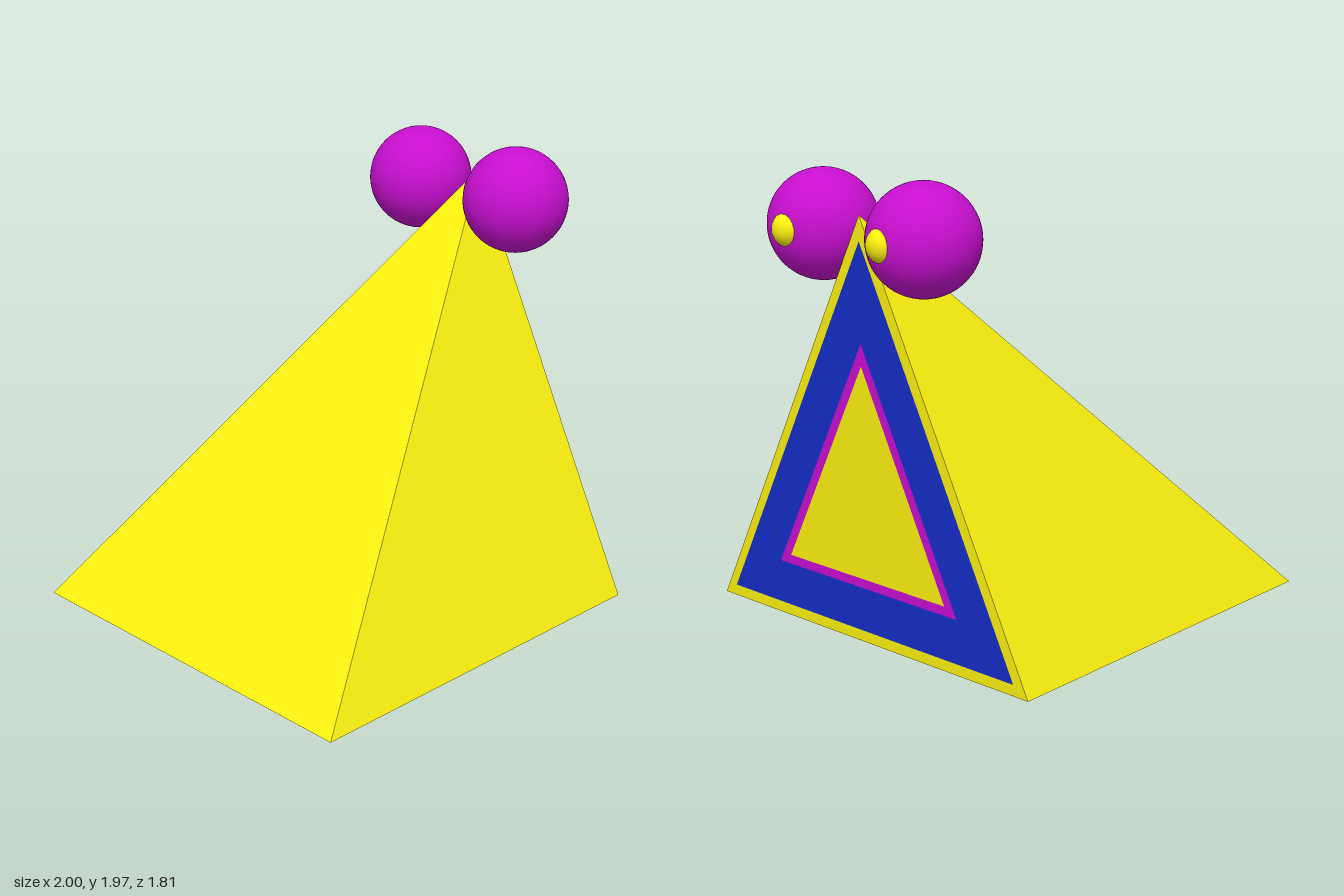
import * as THREE from 'three';

const yellow = new THREE.MeshStandardMaterial({ color: 0xfbf010 });
const blue = new THREE.MeshStandardMaterial({ color: 0x142dc8 });
const purple = new THREE.MeshStandardMaterial({ color: 0xc80fd0 });

const FACE_X = 0.81, HALF = 0.905, HEIGHT = 1.815;

// Corners of an upright triangle: half width, base height, tip height
const corners = ([half, low, tip]) => [
  new THREE.Vector2(-half, low), new THREE.Vector2(half, low), new THREE.Vector2(0, tip),
];

function addMesh(parent, name, geometry, material, x = 0, y = 0, z = 0) {
  const mesh = new THREE.Mesh(geometry, material);
  mesh.name = name;
  mesh.position.set(x, y, z);
  parent.add(mesh);
  return mesh;
}

// Square pyramid, sheared so that its tip stands above the +x edge
function pyramidGeometry() {
  const geo = new THREE.ConeGeometry(HALF * Math.SQRT2, HEIGHT, 4).toNonIndexed();
  geo.rotateY(Math.PI / 4);
  geo.translate(0, HEIGHT / 2, 0);
  const p = geo.attributes.position;
  for (let i = 0; i < p.count; i++) {
    p.setX(i, p.getX(i) + FACE_X - HALF + HALF * p.getY(i) / HEIGHT);
  }
  geo.computeVertexNormals();
  return geo;
}

// Flat triangular frame lying on the upright face
function frameGeometry(outer, inner) {
  const shape = new THREE.Shape(corners(outer));
  shape.holes.push(new THREE.Path(corners(inner).reverse()));
  return new THREE.ShapeGeometry(shape).rotateY(Math.PI / 2);
}

export function createModel() {
  const group = new THREE.Group();
  group.name = 'pyramidCreature';

  addMesh(group, 'body', pyramidGeometry(), yellow);

  // Nested triangles on the upright face
  const blueEdge = [0.83, 0.05, 1.71];
  const purpleEdge = [0.525, 0.24, 1.29];
  const innerEdge = [0.458, 0.28, 1.195];
  addMesh(group, 'blueFrame', frameGeometry(blueEdge, purpleEdge), blue, FACE_X + 0.003);
  addMesh(group, 'purpleFrame', frameGeometry(purpleEdge, innerEdge), purple, FACE_X + 0.003);

  // Eyes beside the tip, each with a small pupil
  for (const [side, eyeZ, pupilZ] of [['left', -0.287, -0.257], ['right', 0.287, 0.286]]) {
    const eye = new THREE.Group();
    eye.name = side + 'Eye';
    addMesh(eye, 'eyeball', new THREE.SphereGeometry(0.233, 48, 32), purple, 0.735, 1.74, eyeZ);
    addMesh(eye, 'pupil', new THREE.SphereGeometry(0.076, 32, 20), yellow, 0.92, 1.74, pupilZ);
    group.add(eye);
  }
  return group;
}
